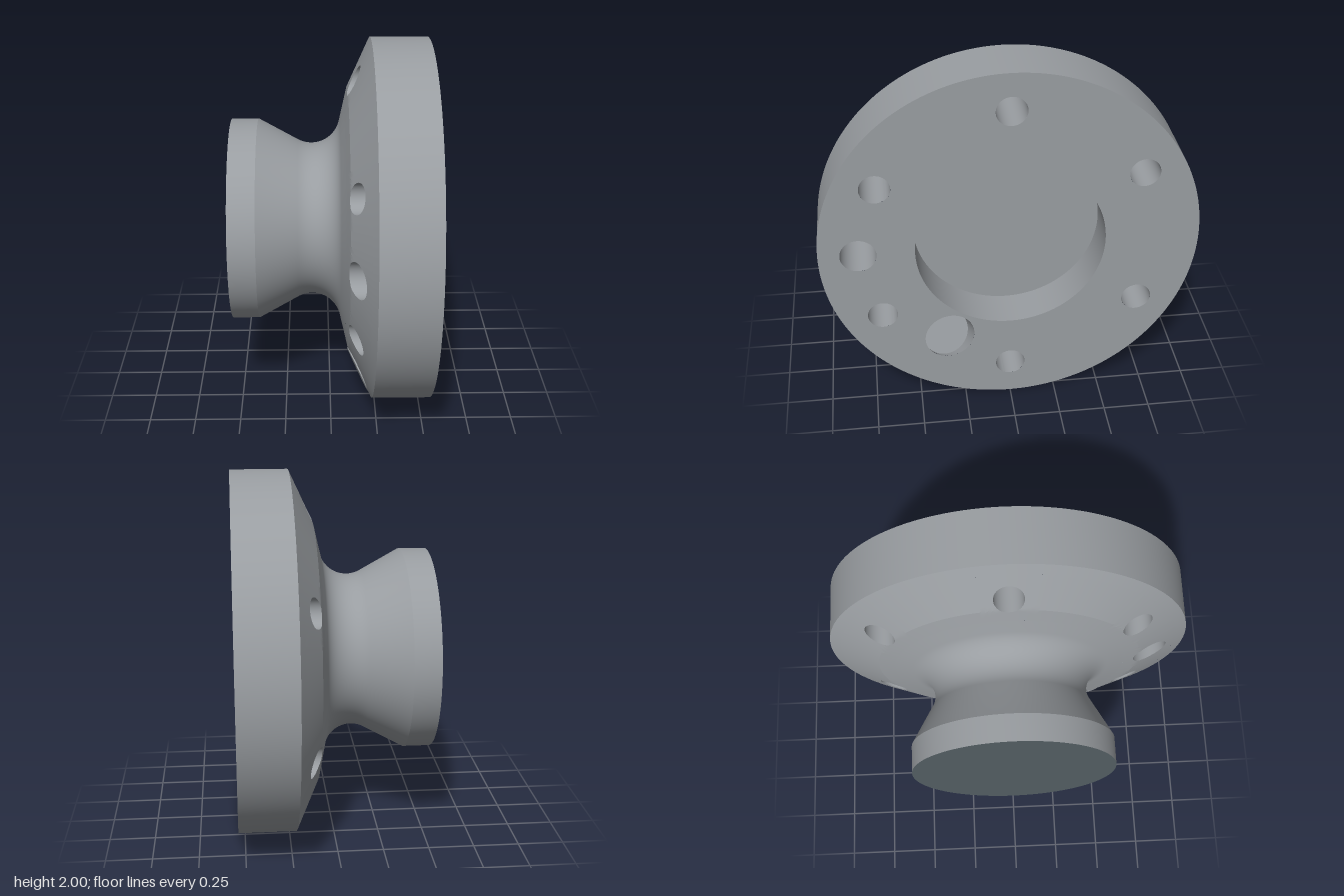
import * as THREE from 'three';
import { toCreasedNormals } from 'three/addons/utils/BufferGeometryUtils.js';

const DEG = Math.PI / 180;
const FACE = 0.537;                 // flat flange face
const R_IN = 0.64, R_OUT = 0.94, R_BOLT = 0.793; // band that carries the holes
const SECTOR = 12 * DEG;            // half-width of the sector around each hole
const CONE = 0.463;                 // slope of the flange cone
const TILT = Math.atan(CONE);

// [angle from the top towards +z, radius]
const HOLES = [[0, 0.08], [60, 0.08], [90, 0.095], [120, 0.08], [180, 0.08], [240, 0.08], [300, 0.08]];

// x of the sloping flange back at radius r
const backX = r => 0.097 + (r - 0.73) * (r < 0.73 ? 0.225 : CONE);

const polar = (x, r, phi) => [x, r * Math.cos(phi), r * Math.sin(phi)];

// point given by radial and tangential distance in the frame at angle phi
const local = (x, a, b, phi) => polar(x, Math.hypot(a, b), phi + Math.atan2(b, a));

// grid surface from fn(i, j)
function surface(fn, nu, nv) {
  const pos = [], index = [];
  for (let j = 0; j <= nv; j++) for (let i = 0; i <= nu; i++) pos.push(...fn(i, j));
  for (let j = 0; j < nv; j++) for (let i = 0; i < nu; i++) {
    const a = j * (nu + 1) + i, c = a + nu + 1;
    index.push(a, a + 1, c, a + 1, c + 1, c);
  }
  const g = new THREE.BufferGeometry();
  g.setAttribute('position', new THREE.Float32BufferAttribute(pos, 3));
  g.setIndex(index);
  return g;
}

// [radius, x] profile turned about the x axis
function turned(points, start = 0, length = 2 * Math.PI, segments = 180) {
  const g = new THREE.LatheGeometry(points.map(p => new THREE.Vector2(...p)), segments, start - Math.PI / 2, length);
  return g.rotateZ(-Math.PI / 2);
}

// hole wall together with the sloping surface around it
function holeSector(phi, radius) {
  const n = 48, rows = 10;
  return surface((i, j) => {
    const al = (i / n) * 2 * Math.PI, c = Math.cos(al), s = Math.sin(al);
    const a = R_BOLT + radius * c, b = radius * s;
    if (j === 0) return local(FACE, a, b, phi);
    const t = (j - 1) / (rows - 1), k = 1 / Math.max(Math.abs(c), Math.abs(s));
    const edge = c > 0 ? R_OUT - R_BOLT : R_BOLT - R_IN;
    const r = THREE.MathUtils.lerp(Math.hypot(a, b), R_BOLT + edge * c * k, t);
    const f = THREE.MathUtils.lerp(Math.atan2(b, a), SECTOR * s * k, t);
    return polar(backX(r), r, phi + f);
  }, n, rows);
}

export function createModel() {
  const model = new THREE.Group();
  const body = new THREE.Group();
  body.name = 'flangedHub';
  body.position.y = 1;
  model.add(body);
  const steel = new THREE.MeshStandardMaterial({ color: 0x999da1 });
  steel.name = 'steel grey';
  const slate = new THREE.MeshStandardMaterial({ color: 0x525d62 });
  slate.name = 'dark slate';

  const add = (name, geometry, material = steel) => {
    const mesh = new THREE.Mesh(toCreasedNormals(geometry, 0.2), material);
    mesh.name = name;
    body.add(mesh);
    return mesh;
  };

  // dark end face of the hub
  add('hubEndFace', turned([[0, -FACE], [0.555, -FACE]]), slate);

  // hub, taper, rounded neck and start of the flange back
  const neck = [];
  for (let i = 0; i <= 18; i++) {
    const a = (-27.6 + (106.3 * i) / 18) * DEG;
    neck.push([0.42 + 0.158 * (1 - Math.cos(a)), -0.1 + 0.158 * Math.sin(a)]);
  }
  add('hubAndNeck', turned([[0.555, -FACE], [0.555, -0.39], ...neck, [R_IN, backX(R_IN)]]));

  // flange back: a sector for each hole and plain sectors between
  HOLES.forEach(([deg, radius], i) => {
    add('boltHole', holeSector(deg * DEG, radius));
    const next = i + 1 < HOLES.length ? HOLES[i + 1][0] : 360;
    const length = (next - deg) * DEG - 2 * SECTOR;
    add('flangeBack', turned([[R_IN, backX(R_IN)], [0.73, backX(0.73)], [R_OUT, backX(R_OUT)]],
      deg * DEG + SECTOR, length, Math.round(length / DEG / 2)));
  });

  // outer rim
  add('flangeRim', turned([[R_OUT, backX(R_OUT)], [1, backX(1)], [1, FACE]]));

  // round recess in the flat face
  add('recess', turned([[0.5, FACE], [0.5, 0.317], [0, 0.317]]));

  // flat face with all openings
  const pin = { phi: 150 * DEG, r: 0.665, radius: 0.13, depth: 0.095 };
  const shape = new THREE.Shape().absarc(0, 0, 1, 0, 2 * Math.PI);
  const cut = (r, phi, rx, ry, rot) => shape.holes.push(
    new THREE.Path().absellipse(-r * Math.sin(phi), r * Math.cos(phi), rx, ry, 0, 2 * Math.PI, false, rot));
  cut(0, 0, 0.5, 0.5, 0);
  HOLES.forEach(([deg, radius]) => cut(R_BOLT, deg * DEG, radius, radius, 0));
  cut(pin.r, pin.phi, pin.radius / Math.cos(TILT), pin.radius, pin.phi + Math.PI / 2);
  add('flangeFace', new THREE.ShapeGeometry(shape, 90).rotateY(Math.PI / 2).translate(FACE, 0, 0));

  // tilted blind pocket: rim, floor edge, floor centre
  const ct = Math.cos(TILT), st = Math.sin(TILT);
  add('tiltedPocket', surface((i, j) => {
    const al = (i / 48) * 2 * Math.PI, c = pin.radius * Math.cos(al), s = pin.radius * Math.sin(al);
    if (j === 0) return local(FACE, pin.r + c / ct, s, pin.phi);
    const k = j === 1 ? 1 : 0;
    return local(FACE - pin.depth * ct + k * c * st, pin.r + pin.depth * st + k * c * ct, k * s, pin.phi);
  }, 48, 2));

  // end of the tilted plug, almost flush with the sloping back
  const plug = add('plugEnd', new THREE.CylinderGeometry(pin.radius, pin.radius, 0.04, 48));
  const axis = new THREE.Vector3(-ct, st * Math.cos(pin.phi), st * Math.sin(pin.phi));
  plug.quaternion.setFromUnitVectors(new THREE.Vector3(0, 1, 0), axis);
  plug.position.set(...polar(backX(0.842), 0.842, pin.phi)).addScaledVector(axis, -0.017);

  return model;
}
